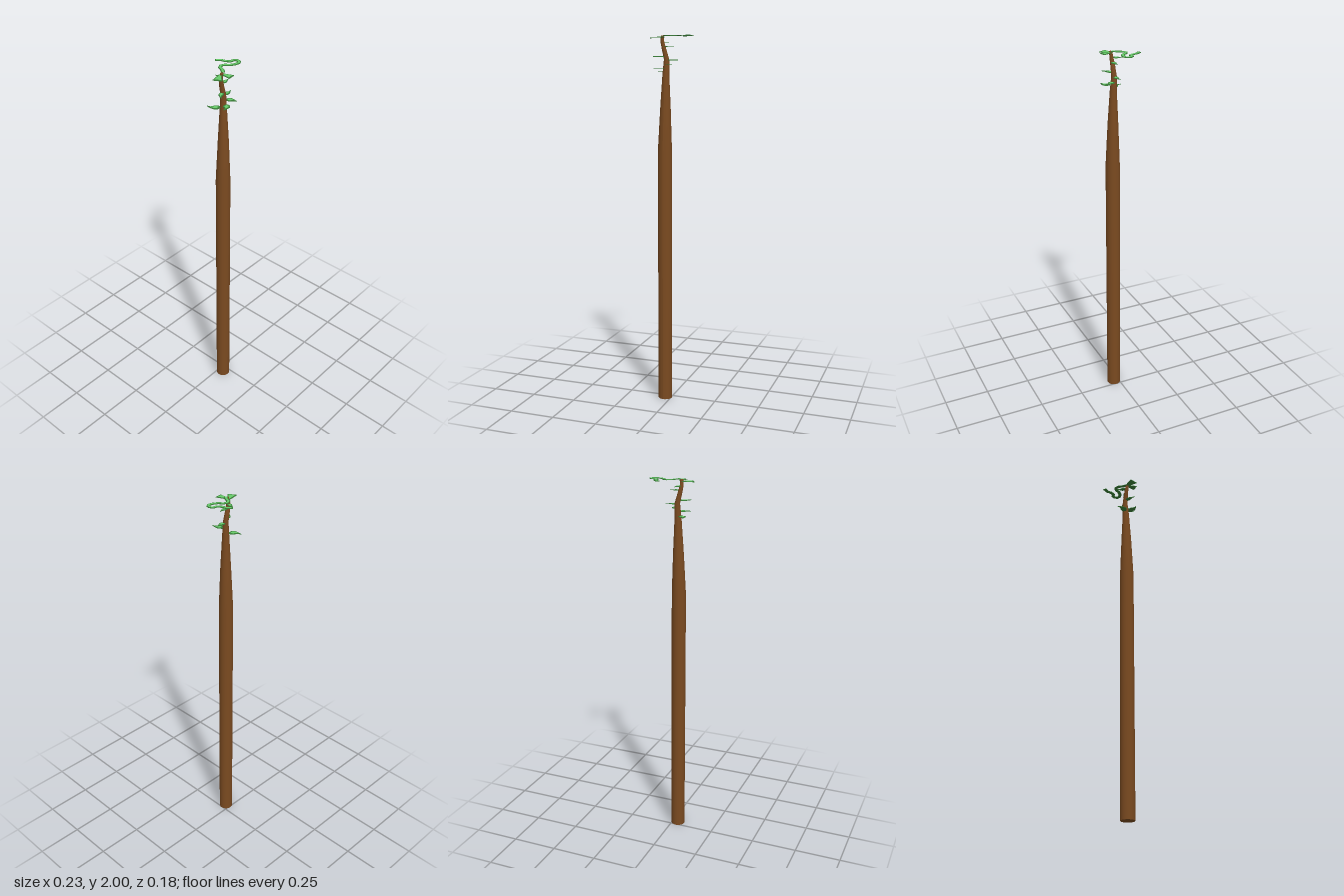
import * as THREE from 'three';

const bark = new THREE.MeshStandardMaterial({ color: 0x7a4a20 });
const rimGreen = new THREE.MeshStandardMaterial({ color: 0x3a8038 });
const midGreen = new THREE.MeshStandardMaterial({ color: 0x66cc6a, side: THREE.DoubleSide });

// Outline of a flat ribbon: path of [x, z], half width at each point
function ribbonShape(path, halfWidths) {
  const left = [], right = [];
  path.forEach(([x, z], i) => {
    const a = path[Math.max(i - 1, 0)], b = path[Math.min(i + 1, path.length - 1)];
    const dx = b[0] - a[0], dz = b[1] - a[1], len = Math.hypot(dx, dz);
    const nx = -dz / len * halfWidths[i], nz = dx / len * halfWidths[i];
    left.push(new THREE.Vector2(x + nx, -(z + nz)));
    right.unshift(new THREE.Vector2(x - nx, -(z - nz)));
  });
  return new THREE.Shape([...left, ...right]);
}

// Thin dark blade with a lighter middle on its upper face
function blade(name, y, path, widths, innerPath, innerWidths) {
  const group = new THREE.Group();
  group.name = name;
  const thickness = 0.003;
  const rim = new THREE.ExtrudeGeometry(ribbonShape(path, widths), { depth: thickness, bevelEnabled: false });
  const mid = new THREE.ShapeGeometry(ribbonShape(innerPath, innerWidths));
  mid.translate(0, 0, thickness + 0.0006);
  for (const [part, geo, mat] of [['rim', rim, rimGreen], ['middle', mid, midGreen]]) {
    geo.rotateX(-Math.PI / 2);
    const mesh = new THREE.Mesh(geo, mat);
    mesh.name = name + ' ' + part;
    group.add(mesh);
  }
  group.position.y = y;
  return group;
}

// Pointed leaf from base to tip, bent sideways by curl
function leaf(name, y, base, tip, width, curl) {
  const dx = tip[0] - base[0], dz = tip[1] - base[1];
  const at = t => {
    const c = curl * 4 * t * (1 - t);
    return [base[0] + dx * t - dz * c, base[1] + dz * t + dx * c];
  };
  const ts = [0, 0.12, 0.28, 0.45, 0.62, 0.8, 1];
  const ws = [0.12, 0.7, 1, 0.95, 0.55, 0.22, 0.02].map(w => w * width);
  const inner = ts.map(t => 0.14 + t * 0.64);
  return blade(name, y, ts.map(at), ws, inner.map(at), ws.map(w => w * 0.58));
}

// Broad leaf with a square cut end
function cutLeaf(name, y, base, end, w0, w1) {
  const mix = t => [base[0] + (end[0] - base[0]) * t, base[1] + (end[1] - base[1]) * t];
  return blade(name, y, [base, end], [w0, w1], [mix(0.08), mix(0.88)], [w0 * 0.5, w1 * 0.7]);
}

// Round stem through rings of [x, y, z, radius], with closed ends
function stemGeometry(rings, sides) {
  const pos = [], idx = [];
  for (const [x, y, z, r] of rings) {
    for (let j = 0; j <= sides; j++) {
      const a = j / sides * Math.PI * 2;
      pos.push(x + Math.sin(a) * r, y, z + Math.cos(a) * r);
    }
  }
  const n = sides + 1;
  for (let i = 0; i < rings.length - 1; i++) {
    for (let j = 0; j < sides; j++) {
      const a = i * n + j, b = a + 1, c = a + n, d = c + 1;
      idx.push(a, b, d, a, d, c);
    }
  }
  const geo = new THREE.BufferGeometry();
  geo.setAttribute('position', new THREE.Float32BufferAttribute(pos, 3));
  geo.setIndex(idx);
  geo.computeVertexNormals();
  return geo;
}

export function createModel() {
  const model = new THREE.Group();
  model.name = 'vine plant';

  // Trunk: straight pole, long taper, then a crooked tip
  const rings = [
    [-0.033, 0, 0.03, 0.038], [-0.033, 1.39, 0.03, 0.038],
    [-0.03, 1.62, 0.029, 0.028], [-0.028, 1.8, 0.027, 0.018],
    [-0.025, 1.875, 0.024, 0.014], [-0.038, 1.925, 0.025, 0.012],
    [-0.047, 1.965, 0.028, 0.010], [-0.045, 1.996, 0.033, 0.008],
  ];
  const trunk = new THREE.Mesh(stemGeometry(rings, 20), bark);
  trunk.name = 'trunk';
  model.add(trunk);
  for (const [name, i, turn] of [['trunk base', 0, 1], ['trunk top', rings.length - 1, -1]]) {
    const [x, y, z, r] = rings[i];
    const cap = new THREE.Mesh(new THREE.CircleGeometry(r, 20), bark);
    cap.rotation.x = turn * Math.PI / 2;
    cap.position.set(x, y, z);
    cap.name = name;
    model.add(cap);
  }

  // Pointed leaves spiralling up the stem: height, base, tip, half width, curl
  const leaves = [
    [1.81, [-0.035, 0.015], [-0.075, -0.037], 0.018, -0.22],
    [1.828, [-0.03, 0.045], [-0.08, 0.075], 0.017, -0.15],
    [1.845, [-0.018, 0.032], [0.006, 0.086], 0.016, -0.12],
    [1.87, [-0.02, 0.02], [0.037, 0.018], 0.013, 0.1],
    [1.888, [-0.032, 0.028], [-0.086, 0.066], 0.012, 0.1],
    [1.94, [-0.04, 0.026], [0.015, 0.022], 0.012, 0.05],
    [1.962, [-0.046, 0.022], [-0.028, -0.024], 0.012, 0.08],
  ];
  leaves.forEach(([y, base, tip, w, curl], i) =>
    model.add(leaf('leaf ' + (i + 1), y, base, tip, w, curl)));

  // Two square ended leaves near the top
  model.add(cutLeaf('side cut leaf', 1.984, [-0.045, 0.025], [-0.102, 0.056], 0.007, 0.024));
  model.add(cutLeaf('front cut leaf', 1.988, [-0.042, 0.03], [-0.034, 0.085], 0.007, 0.02));

  // Curling tendril lying level at the very top
  const tendril = [
    [-0.036, 0.033], [-0.02, 0.014], [-0.007, -0.013], [0.011, -0.023], [0.029, -0.015],
    [0.045, 0.006], [0.069, 0.019], [0.09, 0.021], [0.103, 0.012], [0.107, -0.003],
    [0.097, -0.017], [0.076, -0.02], [0.062, -0.041], [0.058, -0.063], [0.037, -0.086],
  ];
  const inner = tendril.map(p => [...p]);
  inner[inner.length - 1] = [0.041, -0.082];
  model.add(blade('tendril', 1.9963, tendril, tendril.map(() => 0.0095), inner, inner.map(() => 0.005)));

  return model;
}
